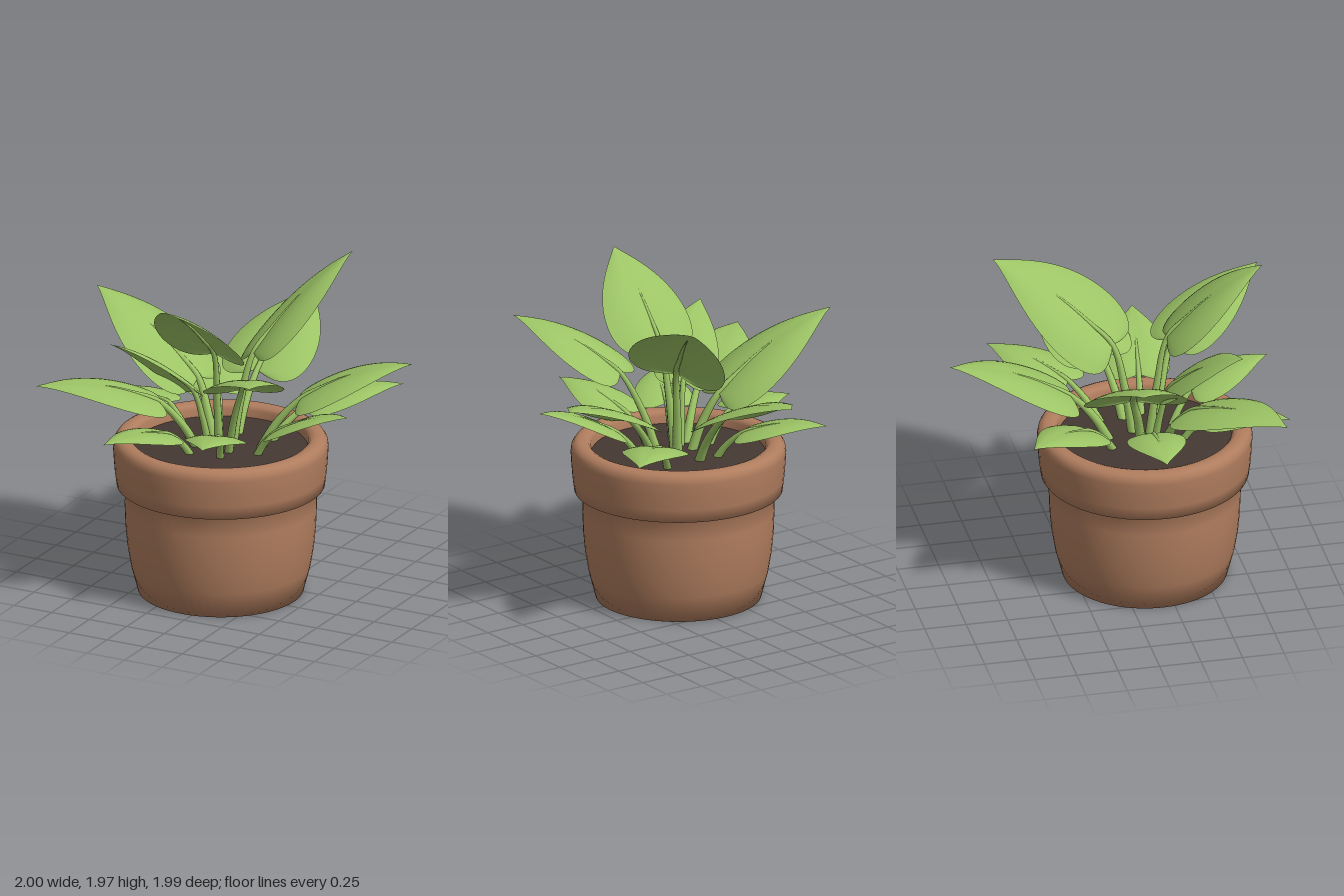
import * as THREE from 'three';

const CX = -0.06, CZ = 0.175, SOIL_Y = 0.9;
const leafMat = new THREE.MeshStandardMaterial({ color: 0x9cc465, side: THREE.DoubleSide });
const potMat = new THREE.MeshStandardMaterial({ color: 0xb07d5e });
const soilMat = new THREE.MeshStandardMaterial({ color: 0x453833 });

// tip, blade base, half width, root position (0 = pot centre, 1 = under the blade base), roll about the midrib
const LEAVES = [
  { tip: [-0.065, 1.49, -1.0], base: [-0.06, 1.22, -0.28], half: 0.275, root: 0.45 },
  { tip: [0.39, 1.93, -0.64], base: [0.07, 1.45, 0.01], half: 0.29, root: 0.35, roll: 0.38 },
  { tip: [-1.0, 1.67, -0.04], base: [-0.27, 1.25, 0.06], half: 0.3, root: 0.3 },
  { tip: [1.0, 1.46, -0.23], base: [0.39, 1.22, 0.01], half: 0.265, root: 0.47 },
  { tip: [0.85, 1.27, 0.3], base: [0.35, 1.08, 0.23], half: 0.19, root: 0.6 },
  { tip: [0.75, 1.17, -0.6], base: [0.33, 1.1, -0.2], half: 0.19, root: 0.55 },
  { tip: [-0.585, 1.17, -0.61], base: [-0.27, 1.08, -0.2], half: 0.19, root: 0.55 },
  { tip: [-0.94, 1.335, 0.84], base: [-0.36, 1.2, 0.4], half: 0.255, root: 0.35 },
  { tip: [-0.55, 1.61, 0.66], base: [-0.18, 1.27, 0.3], half: 0.19, root: 0.4, roll: -0.25 },
  { tip: [-0.08, 1.965, 0.88], base: [-0.03, 1.53, 0.32], half: 0.265, root: 0.2 },
  { tip: [0.56, 1.63, 0.99], base: [0.2, 1.37, 0.4], half: 0.235, root: 0.35 },
  { tip: [0.24, 1.185, 0.98], base: [0.1, 1.08, 0.49], half: 0.18, root: 0.55 },
  { tip: [-0.42, 1.1, 0.97], base: [-0.22, 1.06, 0.53], half: 0.17, root: 0.55 },
  { tip: [-0.83, 1.11, 0.14], base: [-0.42, 1.1, 0.15], half: 0.17, root: 0.55 },
];

// Heart-shaped blade swept along its arched midrib, with edges sagging downwards
function bladeGeometry(spine, half, roll) {
  const rows = 28, cols = 12, pos = [], index = [];
  const up = new THREE.Vector3(0, 1, 0);
  const dir = spine.getPoint(1).sub(spine.getPoint(0));
  const axis = dir.clone().normalize();
  const side = dir.clone().cross(up).normalize().applyAxisAngle(axis, -roll);
  const normal = side.clone().cross(axis);
  for (let i = 0; i <= rows; i++) {
    const u = Math.pow(i / rows, 1.8);
    const w = Math.pow(u, 0.4) * Math.pow(1 - u, 1.15) / 0.405;
    for (let j = 0; j <= cols; j++) {
      const v = (j / cols) * 2 - 1, s = Math.abs(v);
      const lobe = 0.15 * s * w * Math.pow(1 - u, 3);
      const lift = half * w * (0.12 * s - 0.32 * s * s);
      const p = spine.getPoint(u).addScaledVector(side, v * w * half)
        .addScaledVector(dir, -lobe).addScaledVector(normal, lift);
      pos.push(p.x, p.y, p.z);
      if (i < rows && j < cols) {
        const a = i * (cols + 1) + j, b = a + cols + 1;
        index.push(a, a + 1, b, a + 1, b + 1, b);
      }
    }
  }
  const g = new THREE.BufferGeometry();
  g.setAttribute('position', new THREE.Float32BufferAttribute(pos, 3));
  g.setIndex(index);
  g.computeVertexNormals();
  return g;
}

// Round stalk that narrows from r0 to r1
function taperedTube(path, r0, r1) {
  const n = 28, m = 8;
  const g = new THREE.TubeGeometry(path, n, r0, m);
  const p = g.attributes.position, v = new THREE.Vector3();
  for (let i = 0; i <= n; i++) {
    const c = path.getPointAt(i / n);
    const k = 1 + (r1 / r0 - 1) * Math.pow(i / n, 1.1);
    for (let j = 0; j <= m; j++) {
      const id = i * (m + 1) + j;
      v.fromBufferAttribute(p, id).sub(c).multiplyScalar(k).add(c);
      p.setXYZ(id, v.x, v.y, v.z);
    }
  }
  return g;
}

function makeLeaf({ tip, base, half, root, roll = 0 }) {
  const leaf = new THREE.Group();
  leaf.name = 'leaf';
  const t = new THREE.Vector3(...tip), b = new THREE.Vector3(...base);
  const mid = b.clone().lerp(t, 0.5);
  mid.y += 0.16 * b.distanceTo(t);
  const spine = new THREE.QuadraticBezierCurve3(b, mid, t);
  const blade = new THREE.Mesh(bladeGeometry(spine, half, roll), leafMat);
  blade.name = 'leafBlade';

  // Stalk bends outwards from the soil and runs on just under the blade as the midrib
  const r = new THREE.Vector3(CX, 0, CZ).lerp(new THREE.Vector3(b.x, 0, b.z), root).setY(SOIL_Y - 0.03);
  const bend = r.clone().lerp(b, 0.4);
  bend.y = r.y + (b.y - r.y) * 0.52;
  const ribs = [0.2, 0.4, 0.65].map((u) => spine.getPoint(u).setY(spine.getPoint(u).y - 0.005));
  const path = new THREE.CatmullRomCurve3([r, bend, b, ...ribs]);
  const stalk = new THREE.Mesh(taperedTube(path, 0.015 + 0.055 * half, 0.003), leafMat);
  stalk.name = 'leafStalk';
  leaf.add(blade, stalk);
  return leaf;
}

function lathe(points, name, material) {
  const g = new THREE.LatheGeometry(points.map(([x, y]) => new THREE.Vector2(x, y)), 64);
  const mesh = new THREE.Mesh(g, material);
  mesh.position.set(CX, 0, CZ);
  mesh.name = name;
  return mesh;
}

export function createModel() {
  const model = new THREE.Group();
  model.name = 'pottedPlant';

  // Bulging pot body, overhanging rim with rounded lip, and inner wall
  model.add(lathe([
    [0, 0], [0.488, 0], [0.53, 0.16], [0.55, 0.28], [0.561, 0.4],
    [0.566, 0.53], [0.563, 0.662], [0.614, 0.662], [0.624, 0.74], [0.631, 0.83],
    [0.635, 0.9], [0.63, 0.93], [0.615, 0.953], [0.59, 0.965], [0.555, 0.965],
    [0.53, 0.955], [0.515, 0.935], [0.51, 0.87],
  ], 'pot', potMat));

  // Gently mounded soil
  model.add(lathe([[0.52, SOIL_Y - 0.01], [0.3, SOIL_Y + 0.002], [0, SOIL_Y + 0.008]], 'soil', soilMat));

  const foliage = new THREE.Group();
  foliage.name = 'foliage';
  LEAVES.forEach((l) => foliage.add(makeLeaf(l)));
  model.add(foliage);
  return model;
}
